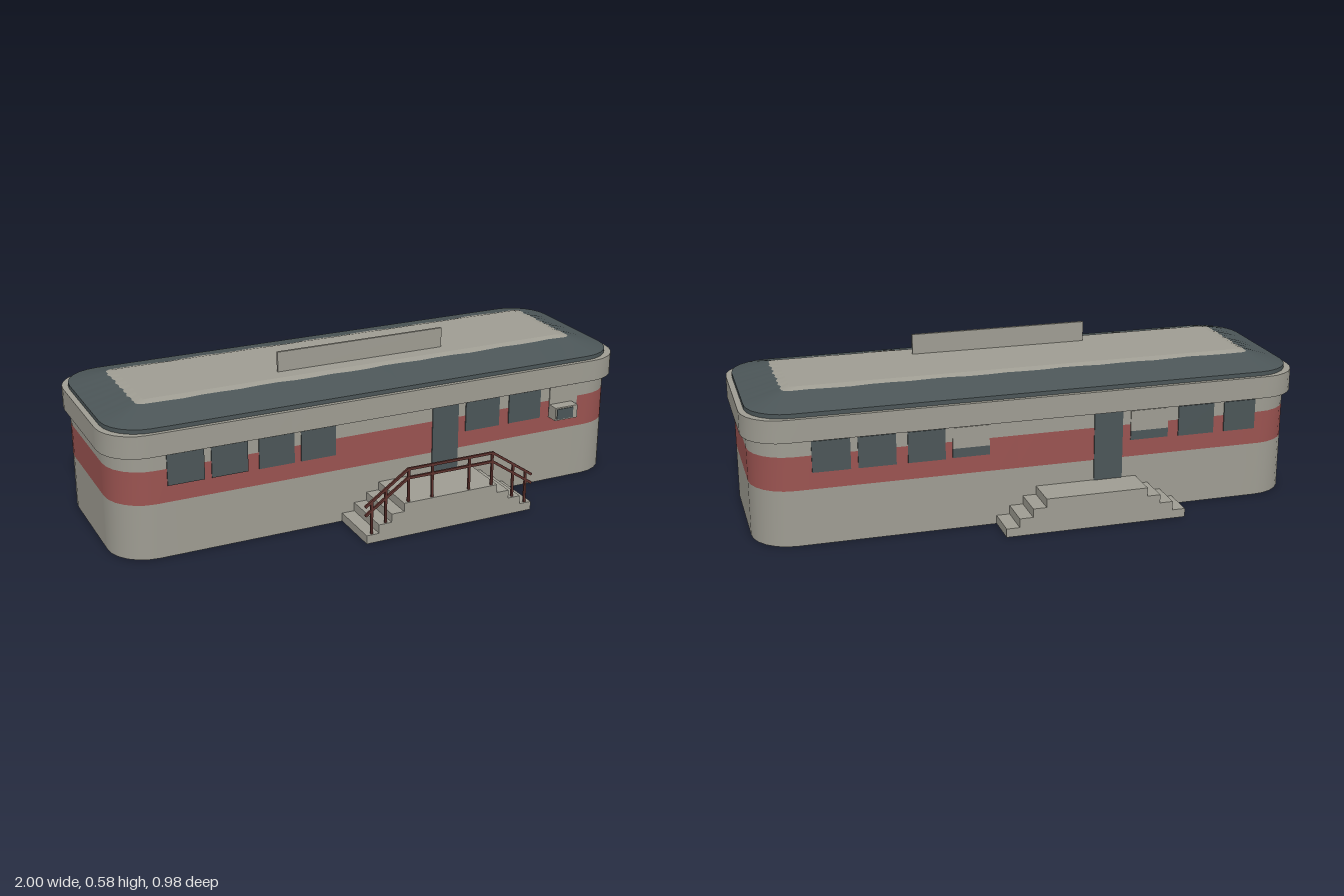
import * as THREE from 'three';

const mat = (name, color) => new THREE.MeshStandardMaterial({ name, color, side: THREE.DoubleSide });

export function createModel() {
  const grey = mat('warm grey', 0x9e9c92);
  const red = mat('brick red', 0x9a5350);
  const slate = mat('dark slate', 0x4b5557);
  const rust = mat('rust brown', 0x5e322d);

  const model = new THREE.Group();
  model.name = 'diner';
  const ZC = -0.0375;

  const add = (parent, name, geo, m, x = 0, y = 0, z = 0) => {
    const mesh = new THREE.Mesh(geo, m);
    mesh.name = name;
    mesh.position.set(x, y, z);
    parent.add(mesh);
    return mesh;
  };
  // box given by its x, y and z ranges
  const box = (parent, name, m, [x0, x1], [y0, y1], [z0, z1]) =>
    add(parent, name, new THREE.BoxGeometry(x1 - x0, y1 - y0, z1 - z0), m, (x0 + x1) / 2, (y0 + y1) / 2, (z0 + z1) / 2);

  // rounded rectangle ring at height y, optionally with a ragged edge
  function ring(hx, hz, r, y, wobble = 0) {
    const pts = [];
    const centres = [[1, 1], [-1, 1], [-1, -1], [1, -1]];
    const ARC = 6, EDGE = 24;
    centres.forEach(([sx, sz], k) => {
      for (let i = 0; i <= ARC; i++) {
        const a = (k + i / ARC) * Math.PI / 2;
        pts.push([sx * (hx - r) + r * Math.cos(a), y, sz * (hz - r) + r * Math.sin(a)]);
      }
      const last = pts[pts.length - 1];
      const [nx, nz] = centres[(k + 1) % 4];
      const a = (k + 1) * Math.PI / 2;
      const end = [nx * (hx - r) + r * Math.cos(a), nz * (hz - r) + r * Math.sin(a)];
      for (let i = 1; i < EDGE; i++) {
        const t = i / EDGE;
        const w = wobble * (Math.sin(i * 1.9 + k) + 0.5 * Math.sin(i * 0.8));
        pts.push([
          last[0] + (end[0] - last[0]) * t - Math.cos(a) * w, y,
          last[2] + (end[1] - last[2]) * t - Math.sin(a) * w]);
      }
    });
    return pts;
  }
  // skin between two rings
  function band(name, m, low, high) {
    const n = low.length, idx = [];
    for (let i = 0; i < n; i++) {
      const j = (i + 1) % n;
      idx.push(i, n + i, j, j, n + i, n + j);
    }
    const g = new THREE.BufferGeometry();
    g.setAttribute('position', new THREE.Float32BufferAttribute([...low, ...high].flat(), 3));
    g.setIndex(idx);
    g.computeVertexNormals();
    return add(model, name, g, m, 0, 0, ZC);
  }

  // open-bottomed walls in three bands
  const wall = (y) => ring(0.98, 0.3275, 0.14, y);
  band('lowerWall', grey, wall(0), wall(0.2));
  band('redStripe', red, wall(0.2), wall(0.32));
  band('upperWall', grey, wall(0.32), wall(0.455));

  // eave fascia
  const eave = (y) => ring(1, 0.3425, 0.14, y);
  band('eaveSoffit', grey, wall(0.375), eave(0.375));
  band('eaveFascia', grey, eave(0.375), eave(0.455));
  band('eaveTop', grey, eave(0.455), wall(0.455));

  // dark sloping roof with a ragged pale top panel
  const panelEdge = ring(0.85, 0.19, 0.025, 0.505, 0.004);
  const panelTop = ring(0.82, 0.165, 0.025, 0.512);
  band('roofEdge', slate, wall(0.455), wall(0.47));
  band('roofSlope', slate, wall(0.47), panelEdge);
  band('roofPanelRim', grey, panelEdge, panelTop);
  const cap = new THREE.PlaneGeometry(1.64, 0.33).rotateX(-Math.PI / 2);
  add(model, 'roofPanel', cap, grey, 0, 0.512, ZC);
  const ceiling = new THREE.PlaneGeometry(1.64, 0.33).rotateX(Math.PI / 2);
  add(model, 'ceiling', ceiling, slate, 0, 0.504, ZC);
  box(model, 'roofSignBoard', grey, [-0.31, 0.34], [0.505, 0.585], [0.06, 0.07]);

  // windows, door and steps of one long side
  const W = 0.3275;
  const windows = [[-0.79, -0.66], [-0.635, -0.505], [-0.465, -0.335], [-0.31, -0.18],
    [0.335, 0.475], [0.515, 0.65], [0.69, 0.81]];
  function facade(name, covered, depth) {
    const side = new THREE.Group();
    side.name = name;
    side.position.set(-0.01, 0, ZC);
    model.add(side);
    const skin = [W - 0.004, W + 0.004];
    windows.forEach((x, i) => {
      if (covered.includes(i)) {
        // mostly shuttered window
        box(side, 'windowSill', slate, x, [0.262, 0.295], skin);
        box(side, 'shutter', grey, x, [0.295, 0.37], skin);
      } else box(side, 'window', slate, x, [0.26, 0.37], skin);
    });
    box(side, 'door', slate, [0.2, 0.305], [0.125, 0.372], skin);

    // hollow stairs: stepped outline swept back to the wall
    const xs = [-0.155, -0.108, -0.06, -0.012], ys = [0.031, 0.063, 0.094, 0.125];
    const line = [[xs[0], 0]];
    xs.forEach((x, i) => {
      line.push([x, ys[i]]);
      if (i < 3) line.push([xs[i + 1], ys[i]]);
    });
    const outline = [...line, ...line.map(([x, y]) => [0.345 - x, y]).reverse()];
    const pos = [];
    for (let i = 0; i < outline.length - 1; i++) {
      const [a, b] = outline[i], [c, d] = outline[i + 1];
      const z = W + depth;
      pos.push(a, b, z, c, d, z, c, d, W, a, b, z, c, d, W, a, b, W);
    }
    const treads = new THREE.BufferGeometry();
    treads.setAttribute('position', new THREE.Float32BufferAttribute(pos, 3));
    treads.computeVertexNormals();
    add(side, 'stepTreads', treads, grey);
    const face = new THREE.Shape(outline.map(([x, y]) => new THREE.Vector2(x, y)));
    add(side, 'stepSide', new THREE.ShapeGeometry(face), grey, 0, 0, W + depth);
    return side;
  }
  facade('frontSide', [6], 0.2);
  facade('backSide', [3, 4], 0.125).rotation.y = Math.PI;

  // handrail along the outer edge of the front steps
  const rail = new THREE.Group();
  rail.name = 'handrail';
  model.add(rail);
  const RZ = 0.481, MID = 0.1625;
  const bar = (name, x0, y0, x1, y1) => {
    const m = add(rail, name, new THREE.BoxGeometry(Math.hypot(x1 - x0, y1 - y0) + 0.005, 0.009, 0.008),
      rust, (x0 + x1) / 2, (y0 + y1) / 2, RZ);
    m.rotation.z = Math.atan2(y1 - y0, x1 - x0);
  };
  for (const drop of [0, 0.033]) {
    bar('levelRail', -0.005, 0.247 - drop, 0.33, 0.247 - drop);
    for (const s of [-1, 1])
      bar('slopingRail', MID + s * 0.167, 0.247 - drop, MID + s * 0.328, 0.136 - drop);
  }
  for (const s of [-1, 1])
    for (const [dx, y0, y1] of [[0.305, 0.03, 0.15], [0.252, 0.063, 0.187], [0.165, 0.125, 0.25], [0.073, 0.125, 0.25]]) {
      const x = MID + s * dx;
      box(rail, 'railPost', rust, [x - 0.004, x + 0.004], [y0, y1], [RZ - 0.004, RZ + 0.004]);
    }

  // wall-mounted unit with a dark front
  box(model, 'wallUnit', grey, [0.68, 0.775], [0.255, 0.305], [0.28, 0.337]);
  box(model, 'wallUnitGrille', slate, [0.686, 0.755], [0.26, 0.3], [0.334, 0.34]);

  return model;
}
